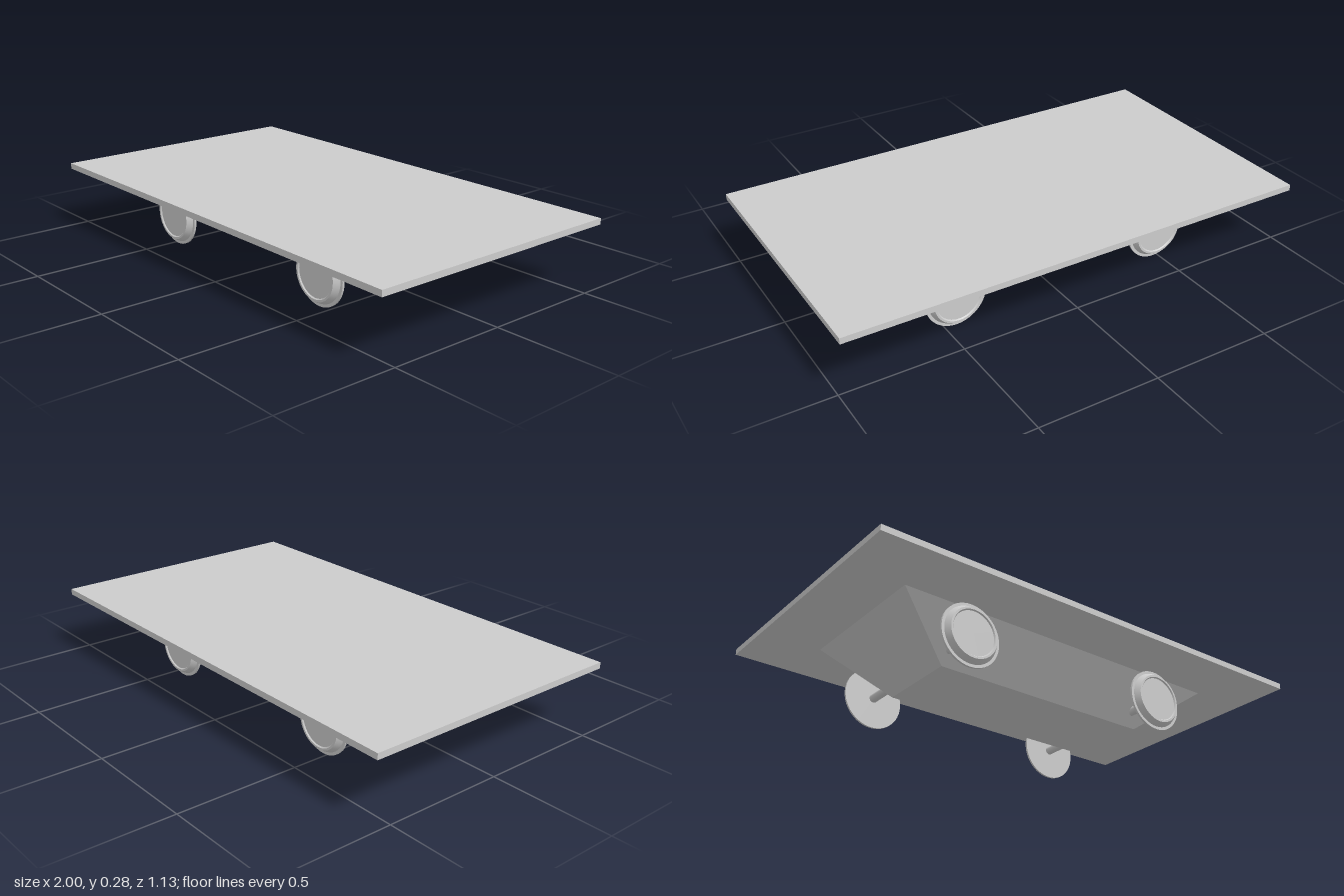
import * as THREE from 'three';
import { toCreasedNormals } from 'three/addons/utils/BufferGeometryUtils.js';

const material = new THREE.MeshStandardMaterial({ color: 0xcccccc });
const AXLE_Y = 0.129;

function addMesh(parent, name, geometry, x = 0, y = 0, z = 0) {
  const mesh = new THREE.Mesh(geometry, material);
  mesh.name = name;
  mesh.position.set(x, y, z);
  parent.add(mesh);
  return mesh;
}

// Box whose lower face is shrunk to make a hopper-shaped underframe
function taperedBox(topX, topZ, bottomX, bottomZ, height) {
  const geometry = new THREE.BoxGeometry(topX, height, topZ);
  const p = geometry.attributes.position;
  for (let i = 0; i < p.count; i++) {
    if (p.getY(i) < 0) {
      p.setX(i, Math.sign(p.getX(i)) * bottomX / 2);
      p.setZ(i, Math.sign(p.getZ(i)) * bottomZ / 2);
    }
  }
  const flat = geometry.toNonIndexed();
  flat.computeVertexNormals();
  return flat;
}

// Flanged wheel: thin inner flange, conical tread, shallow dished face
function wheelGeometry() {
  const profile = [
    [0, 0], [0.129, 0], [0.129, 0.009], [0.117, 0.009],
    [0.114, 0.016], [0.103, 0.033], [0.095, 0.033], [0.091, 0.028], [0, 0.028],
  ].map(([r, h]) => new THREE.Vector2(r, h));
  const lathe = new THREE.LatheGeometry(profile, 48);
  lathe.rotateX(Math.PI / 2);
  return toCreasedNormals(lathe, 0.5);
}

export function createModel() {
  const model = new THREE.Group();
  model.name = 'flatWagon';

  // Flat deck and underframe
  addMesh(model, 'deck', new THREE.BoxGeometry(2, 0.025, 1.13), 0, 0.2725, 0);
  addMesh(model, 'underframe', taperedBox(1.5, 0.636, 0.98, 0.35, 0.19), 0, 0.165, 0);

  // Two wheelsets
  const wheel = wheelGeometry();
  const axle = new THREE.CylinderGeometry(0.018, 0.018, 0.686, 24).rotateX(Math.PI / 2);
  for (const x of [-0.481, 0.449]) {
    const wheelset = new THREE.Group();
    wheelset.name = 'wheelset';
    wheelset.position.set(x, AXLE_Y, 0);
    model.add(wheelset);
    addMesh(wheelset, 'axle', axle);
    addMesh(wheelset, 'frontWheel', wheel, 0, 0, 0.342);
    addMesh(wheelset, 'backWheel', wheel, 0, 0, -0.342).rotation.y = Math.PI;
  }
  return model;
}
